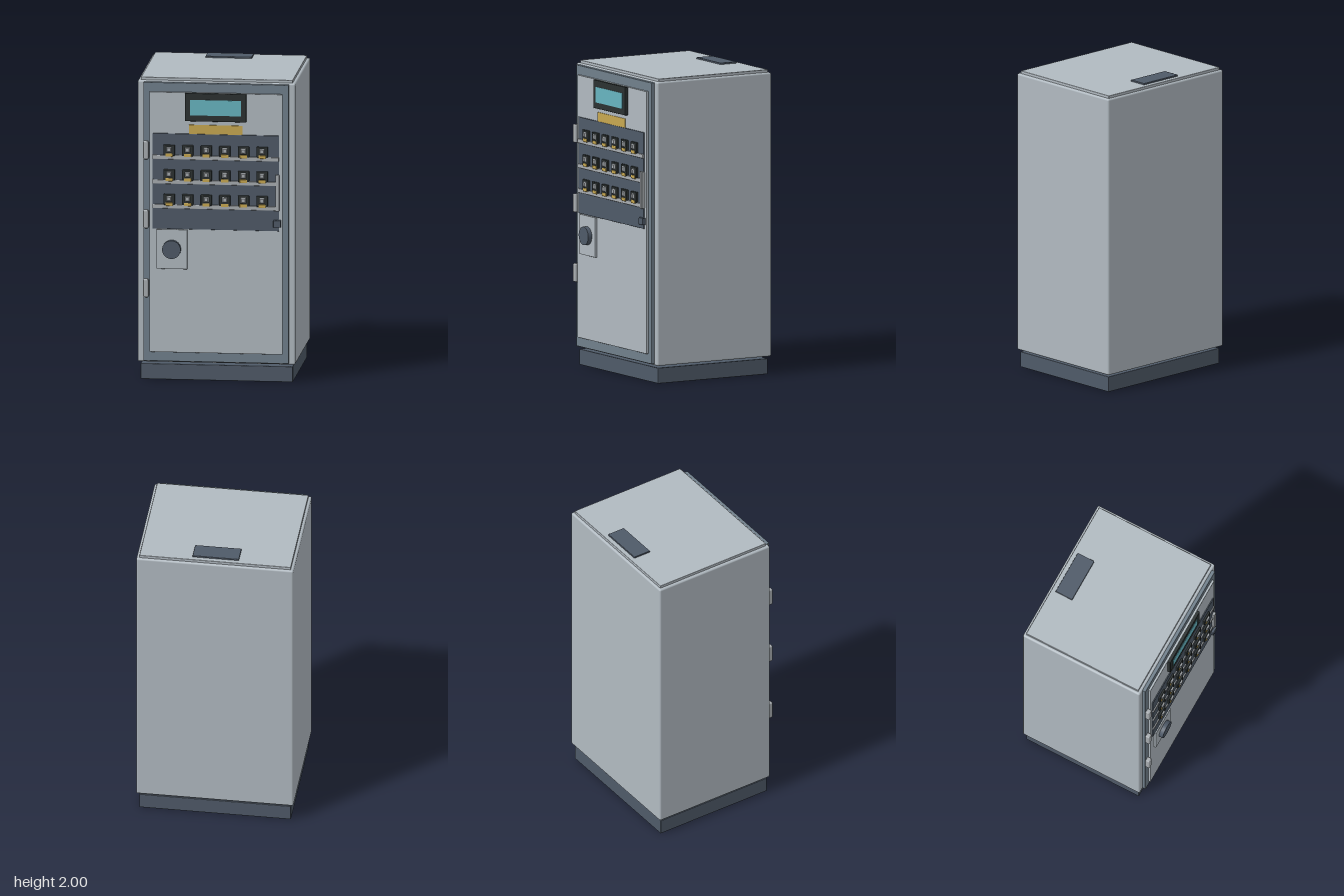
import * as THREE from 'three';
import { RoundedBoxGeometry } from 'three/addons/geometries/RoundedBoxGeometry.js';

function mat(name, color) {
  const m = new THREE.MeshStandardMaterial({ color });
  m.name = name;
  return m;
}

export function createModel() {
  const g = new THREE.Group();
  g.name = 'keyCabinet';
  const shell = mat('pale grey paint', 0xb1bac1);
  const frame = mat('blue grey paint', 0x71808c);
  const slate = mat('dark slate', 0x4f5a68);
  const black = mat('black plastic', 0x2b3131);
  const teal = mat('screen teal', 0x67b5c1);
  const gold = mat('gold', 0xc8a850);
  const metal = mat('brushed metal', 0xa9aeb2);

  // Box given by its extents; r > 0 rounds the edges
  function box(name, m, x0, x1, y0, y1, z0, z1, r = 0, parent = g) {
    const w = x1 - x0, h = y1 - y0, d = z1 - z0;
    const geo = r ? new RoundedBoxGeometry(w, h, d, 2, r) : new THREE.BoxGeometry(w, h, d);
    const mesh = new THREE.Mesh(geo, m);
    mesh.name = name;
    mesh.position.set((x0 + x1) / 2, (y0 + y1) / 2, (z0 + z1) / 2);
    parent.add(mesh);
    return mesh;
  }

  // Body, plinth and roof
  box('plinth', slate, -0.495, 0.495, 0, 0.102, -0.452, 0.375, 0.003);
  box('body', shell, -0.513, 0.513, 0.117, 1.972, -0.47, 0.39, 0.012);
  box('roofPanel', shell, -0.494, 0.494, 1.965, 1.99, -0.454, 0.37, 0.004);
  box('roofVent', slate, -0.151, 0.151, 1.985, 2, -0.424, -0.302, 0.003);

  // Door: raised frame with a panel standing slightly proud
  box('doorFrame', frame, -0.473, 0.473, 0.127, 1.965, 0.38, 0.412, 0.004);
  box('doorPanel', shell, -0.433, 0.433, 0.19, 1.905, 0.405, 0.427, 0.002);
  for (const y of [0.61, 1.065, 1.52])
    box('hinge', metal, -0.472, -0.438, y - 0.06, y + 0.06, 0.405, 0.44, 0.008);

  // Display and label
  box('displayBezel', black, -0.2, 0.2, 1.72, 1.905, 0.42, 0.447, 0.003);
  box('displayScreen', teal, -0.165, 0.165, 1.76, 1.862, 0.444, 0.45);
  box('labelPlate', gold, -0.174, 0.174, 1.63, 1.694, 0.425, 0.432);

  // Key panel with three rows of six key slots
  box('keyPanel', slate, -0.412, 0.412, 1.005, 1.634, 0.42, 0.434, 0.002);
  for (let r = 0; r < 3; r++) {
    const y = 1.525 - r * 0.162;
    box('keyRail', metal, -0.412, 0.412, y - 0.06, y - 0.033, 0.43, 0.442, 0.003);
    for (let c = 0; c < 6; c++) {
      const slot = new THREE.Group();
      slot.name = 'keySlot';
      slot.position.set((c - 2.5) * 0.121, y, 0);
      g.add(slot);
      box('slotHousing', black, -0.037, 0.037, -0.036, 0.035, 0.43, 0.447, 0.004, slot);
      box('slotTag', gold, -0.024, 0.024, -0.041, -0.02, 0.44, 0.451, 0.002, slot);
      // Tapered square key head
      const head = new THREE.Mesh(
        new THREE.CylinderGeometry(0.016, 0.026, 0.013, 4, 1).toNonIndexed(), metal);
      head.geometry.computeVertexNormals();
      head.geometry.rotateY(Math.PI / 4);
      head.geometry.rotateX(Math.PI / 2);
      head.name = 'keyHead';
      head.position.set(0, 0.006, 0.4515);
      slot.add(head);
    }
  }

  // Door handle and latch on the right edge
  box('handle', metal, 0.389, 0.415, 1.137, 1.378, 0.425, 0.451, 0.005);
  box('latch', slate, 0.375, 0.425, 1.032, 1.078, 0.425, 0.451, 0.004);

  // Lock plate with round knob
  box('lockPlate', shell, -0.385, -0.185, 0.742, 1.003, 0.42, 0.442, 0.002);
  const knob = new THREE.Mesh(new THREE.CylinderGeometry(0.06, 0.06, 0.03, 32), slate);
  knob.name = 'lockKnob';
  knob.rotation.x = Math.PI / 2;
  knob.position.set(-0.285, 0.874, 0.455);
  g.add(knob);

  return g;
}
